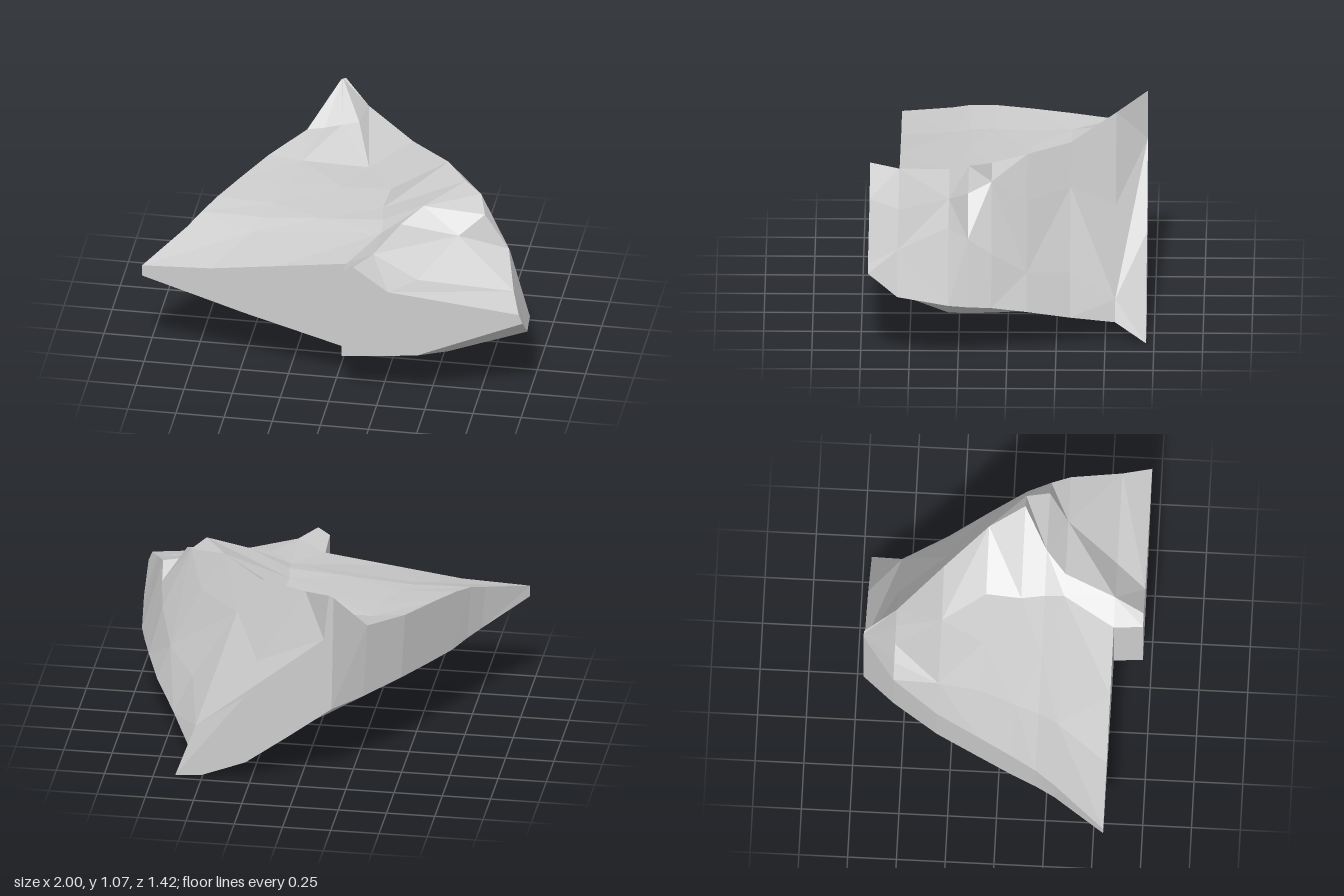
import * as THREE from 'three';

// Sections from back to front: [z, left wall top, valley, ridge, shoulder, flank, rim, keel, left wall foot], points as x, y.
const bodySections = [
  [-0.71, -0.18, 1.06, -0.17, 1.065, -0.155, 1.07, -0.13, 0.82, 0.28, 0.47, 0.64, 0, 0.5, 0.01, -0.17, 0.43],
  [-0.55, -0.33, 0.84, -0.06, 0.91, -0.01, 1.01, 0.24, 0.6, 0.56, 0.21, 0.6, 0.1, 0.45, 0.08, -0.31, 0.44],
  [-0.32, -0.49, 0.805, 0.03, 0.78, 0.26, 0.955, 0.38, 0.76, 0.61, 0.38, 0.71, 0.17, 0.5, 0.11, -0.47, 0.45],
  [-0.1, -0.6, 0.785, 0.18, 0.79, 0.48, 0.98, 0.6, 0.77, 0.76, 0.44, 0.83, 0.25, 0.55, 0.14, -0.58, 0.44],
  [0.08, -0.69, 0.765, 0.17, 0.78, 0.6, 0.98, 0.68, 0.91, 0.83, 0.57, 0.9, 0.3, 0.6, 0.15, -0.67, 0.435],
  [0.2, -0.75, 0.74, 0.19, 0.78, 0.4, 0.88, 0.72, 0.86, 0.85, 0.66, 0.94, 0.32, 0.63, 0.16, -0.73, 0.45],
  [0.3, -0.81, 0.7, 0.2, 0.76, 0.3, 0.82, 0.6, 0.78, 0.86, 0.73, 0.97, 0.34, 0.65, 0.17, -0.79, 0.465],
  [0.56, -1, 0.6, 0.06, 0.71, 0.2, 0.78, 0.43, 0.65, 0.93, 0.63, 1, 0.4, 0.59, 0.245, -1, 0.54],
];
// Front cut of the step, from the valley round to the underside.
const stepFront = [[0.06, 0.74], [0.12, 0.78], [0.3, 0.65], [0.98, 0.58], [1, 0.53], [0.45, 0.29], [0.06, 0.25]];

// A point a fraction of the way from p to q, sunk in proportion to their spacing.
function sagged(p, q, t, sag) {
  const drop = sag * Math.abs(q[0] - p[0]);
  return [p[0] + (q[0] - p[0]) * t, p[1] + (q[1] - p[1]) * t - drop];
}

// Complete a section: the hollow dips on the left of the valley, the belly sags between keel and wall foot.
function bodySection([z, ...c]) {
  const [wallTop, valley, ridge, shoulder, flank, rim, keel, foot] =
    Array.from({ length: 8 }, (_, i) => [c[2 * i], c[2 * i + 1]]);
  return {
    z,
    loop: [
      wallTop, sagged(wallTop, valley, 1 / 3, 0.02), sagged(wallTop, valley, 2 / 3, 0.01), valley,
      ridge, shoulder, flank, rim,
      keel, sagged(keel, foot, 1 / 3, 0.08), sagged(keel, foot, 2 / 3, 0.045), foot,
    ],
  };
}

// Skin a row of sections into a faceted solid with flat end cuts.
function loft(sections) {
  const n = sections[0].loop.length;
  const positions = sections.flatMap(({ z, loop }) => loop.flatMap(([x, y]) => [x, y, z]));
  const index = [];
  for (let i = 0; i < sections.length - 1; i++) {
    for (let j = 0; j < n; j++) {
      const k = (j + 1) % n;
      const a = i * n + j, b = a + n, c = (i + 1) * n + k, d = i * n + k;
      // Alternate the diagonal for an irregular, chiselled look.
      if ((i + j) % 2) index.push(a, b, c, a, c, d);
      else index.push(a, b, d, b, c, d);
    }
  }
  const cap = (i, facing) => {
    const pts = sections[i].loop.map(([x, y]) => new THREE.Vector2(x, y));
    for (const [a, b, c] of THREE.ShapeUtils.triangulateShape(pts, [])) {
      const area = THREE.ShapeUtils.area([pts[a], pts[b], pts[c]]);
      const corners = area * facing > 0 ? [a, b, c] : [a, c, b];
      index.push(...corners.map((v) => v + i * n));
    }
  };
  cap(0, -1);
  cap(sections.length - 1, 1);
  const geometry = new THREE.BufferGeometry();
  geometry.setAttribute('position', new THREE.Float32BufferAttribute(positions, 3));
  geometry.setIndex(index);
  const faceted = geometry.toNonIndexed();
  faceted.computeVertexNormals();
  return faceted;
}

export function createModel() {
  const group = new THREE.Group();
  group.name = 'rockChunk';
  const stone = new THREE.MeshStandardMaterial({ color: 0xcccccc, flatShading: true });
  const add = (name, sections) => {
    const mesh = new THREE.Mesh(loft(sections), stone);
    mesh.name = name;
    group.add(mesh);
  };

  // Ridge, hollow and side walls
  const body = bodySections.map(bodySection);
  add('rockBody', body);

  // Block standing proud at the front, grown from the right part of the body's last section
  const { z, loop } = body[body.length - 1];
  add('frontStep', [{ z, loop: loop.slice(3, 10) }, { z: 0.71, loop: stepFront }]);
  return group;
}
